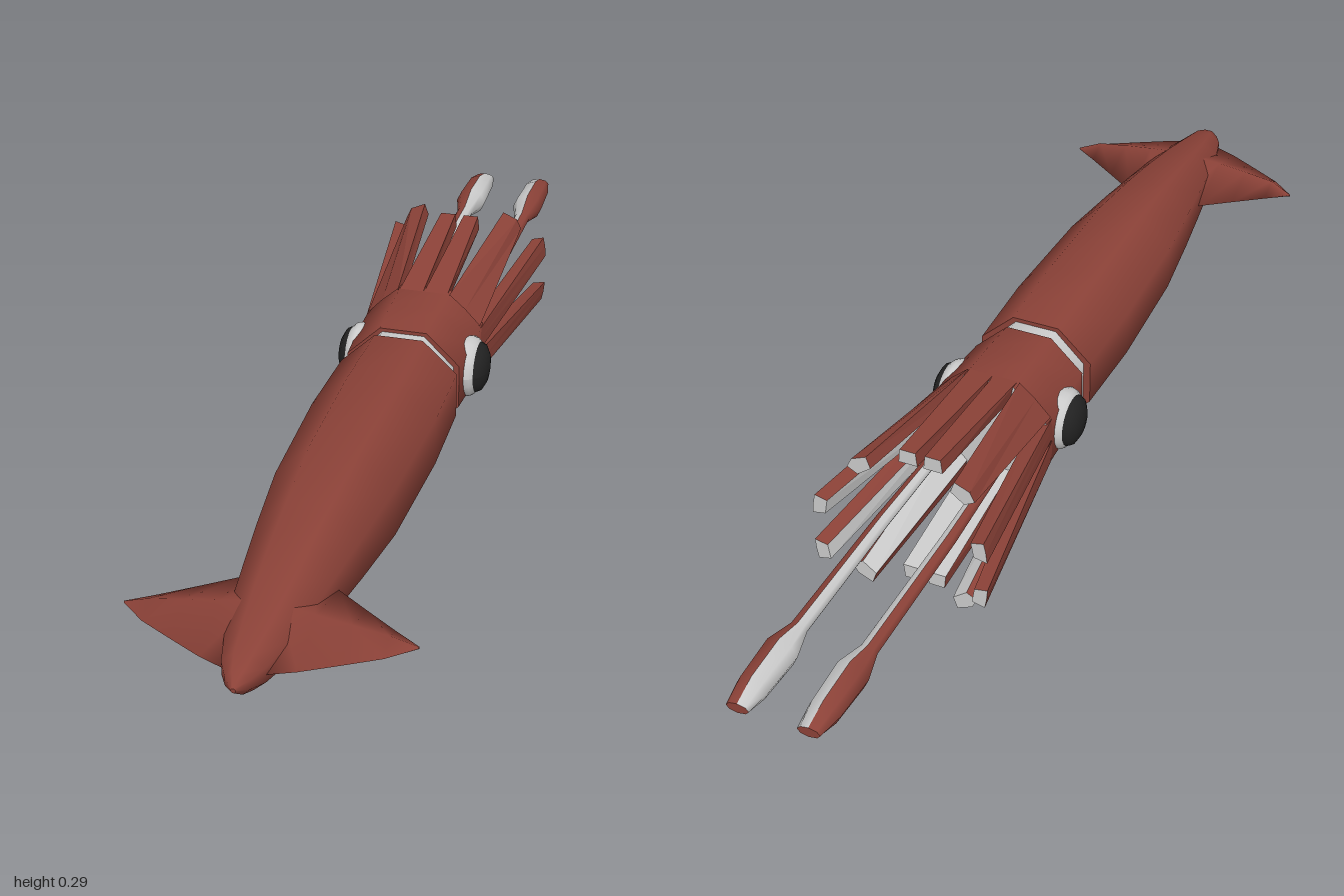
import * as THREE from 'three';

const material = (color, flat = false) =>
  new THREE.MeshStandardMaterial({ color, flatShading: flat, roughness: 0.8, side: THREE.DoubleSide });
const skin = material(0x8c4238);
const skinFlat = material(0x8c4238, true);
const pale = material(0xcccccc);
const paleFlat = material(0xcccccc, true);
const black = material(0x222222);

// Surface through rows of points; rows run towards +z, points run counterclockwise seen from +z
function loft(rows, closed) {
  const n = rows[0].length, index = [];
  for (let k = 0; k < rows.length - 1; k++) {
    for (let j = 0; j < (closed ? n : n - 1); j++) {
      const a = k * n + j, b = k * n + (j + 1) % n;
      index.push(a, b, b + n, a, b + n, a + n);
    }
  }
  return finish(rows.flat(2), index);
}

// Flat polygon closing a section
function cap(row, towardsBack) {
  const index = [];
  for (let j = 1; j < row.length - 1; j++) {
    index.push(0, ...(towardsBack ? [j + 1, j] : [j, j + 1]));
  }
  return finish(row.flat(), index);
}

function finish(positions, index) {
  const g = new THREE.BufferGeometry();
  g.setAttribute('position', new THREE.Float32BufferAttribute(positions, 3));
  g.setIndex(index);
  g.computeVertexNormals();
  return g;
}

// Copy reflected in x and/or y, keeping faces outward
function mirror(geometry, sx, sy = 1) {
  const g = geometry.clone().scale(sx, sy, 1);
  if (sx * sy < 0) {
    const i = g.index.array;
    for (let t = 0; t < i.length; t += 3) [i[t], i[t + 1]] = [i[t + 1], i[t]];
  }
  g.computeVertexNormals();
  return g;
}

// Eight-sided ring with flats on the axes; rx and ry are measured to the flats
function octagon([z, rx, ry]) {
  return Array.from({ length: 8 }, (_, j) => {
    const a = (j + 0.5) * Math.PI / 4, s = 1 / Math.cos(Math.PI / 8);
    return [Math.cos(a) * rx * s, Math.sin(a) * ry * s, z];
  });
}

export function createModel() {
  const root = new THREE.Group();
  const body = new THREE.Group();
  body.name = 'squid';
  body.position.y = 0.1455;
  root.add(body);
  const add = (name, geometry, mat, parent = body) => {
    const m = new THREE.Mesh(geometry, mat);
    m.name = name;
    parent.add(m);
  };

  // Mantle, tapering to a rounded tip
  const mantle = [
    [0.02, 0.113, 0.107], [0.2, 0.117, 0.112], [0.45, 0.108, 0.11], [0.6, 0.092, 0.094],
    [0.7, 0.08, 0.08], [0.8, 0.068, 0.062], [0.88, 0.054, 0.045], [0.95, 0.036, 0.032],
    [0.98, 0.02, 0.02], [1, 0.004, 0.004],
  ].map(octagon);
  add('mantle', loft(mantle, true), skin);
  add('mantleRim', cap(mantle[0], true), skin);
  add('mantleTip', cap(mantle.at(-1), false), skin);

  // Pale neck between mantle and head
  add('neck', loft([[-0.05, 0.099, 0.099], [0.04, 0.099, 0.099]].map(octagon), true), pale);

  // Head
  const head = [[-0.19, 0.117, 0.113], [-0.1, 0.115, 0.111], [-0.012, 0.11, 0.106]].map(octagon);
  add('head', loft(head, true), skin);
  add('headFront', cap(head[0], true), pale);
  add('headRim', cap(head.at(-1), false), skin);

  // Fins: diamond sections stepping outwards, [x, leading z, trailing z, half thickness]
  const finRows = [
    [0.02, 0.66, 0.955, 0.045], [0.08, 0.7, 0.93, 0.037], [0.14, 0.744, 0.897, 0.029],
    [0.2, 0.787, 0.863, 0.02], [0.246, 0.818, 0.823, 0.002],
  ].map(([x, lead, trail, t]) => {
    const mid = lead * 0.45 + trail * 0.55;
    return [[x, 0, trail], [x, -t, mid], [x, 0, lead], [x, t, mid]];
  });
  const fin = loft(finRows, true);

  // Eyes: pale rim with a domed dark pupil, turned to face sideways
  const lathe = (points) => new THREE.LatheGeometry(points.map((p) => new THREE.Vector2(...p)), 20)
    .rotateZ(-Math.PI / 2).translate(0, 0, -0.1);
  const eyeRim = lathe([[0.058, 0.095], [0.06, 0.112], [0.057, 0.121], [0.05, 0.128]]);
  const pupil = lathe([[0.05, 0.128], [0.045, 0.138], [0.03, 0.146], [0.015, 0.149], [0, 0.15]]);

  // Long tentacles with a widened club: [z, centre x, half width, half height]
  const tentacleSections = [
    [-1, 0.064, 0.021, 0.01], [-0.95, 0.065, 0.029, 0.025], [-0.86, 0.065, 0.032, 0.029],
    [-0.8, 0.065, 0.017, 0.013], [-0.5, 0.064, 0.015, 0.012], [-0.17, 0.055, 0.011, 0.01],
  ];
  const halfTube = (start) => tentacleSections.map(([z, cx, w, h]) =>
    Array.from({ length: 5 }, (_, j) => {
      const a = start + j * Math.PI / 4;
      return [cx + Math.cos(a) * w, Math.sin(a) * h, z];
    }));
  const outerHalf = halfTube(-Math.PI / 2), innerHalf = halfTube(Math.PI / 2);
  const tentacleEnd = cap([...outerHalf[0], ...innerHalf[0].slice(1, 4)], true);

  for (const [side, sx] of [['left', 1], ['right', -1]]) {
    add(side + 'Fin', mirror(fin, sx), skin);
    const eye = new THREE.Group();
    eye.name = side + 'Eye';
    add('eyeRim', mirror(eyeRim, sx), pale, eye);
    add('pupil', mirror(pupil, sx), black, eye);
    const tentacle = new THREE.Group();
    tentacle.name = side + 'Tentacle';
    add('tentacleOuter', mirror(loft(outerHalf), sx), skin, tentacle);
    add('tentacleInner', mirror(loft(innerHalf), sx), pale, tentacle);
    add('tentacleEnd', mirror(tentacleEnd, sx), skin, tentacle);
    body.add(eye, tentacle);
  }

  // Arms of one quadrant: base and tip sections, each as two inner corners around three outer ones
  const arms = [
    { name: 'Middle', z: -0.47,
      base: [[0.042, 0.08], [0.048, 0.113], [0.024, 0.113], [0.001, 0.113], [0.002, 0.08]],
      tip: [[0.042, 0.118], [0.039, 0.1455], [0.024, 0.1455], [0.009, 0.1455], [0.006, 0.118]] },
    { name: 'Diagonal', z: -0.51,
      base: [[0.085, 0.045], [0.114, 0.052], [0.084, 0.084], [0.052, 0.112], [0.046, 0.084]],
      tip: [[0.102, 0.1], [0.122, 0.111], [0.113, 0.13], [0.084, 0.143], [0.076, 0.12]] },
    { name: 'Side', z: -0.56,
      base: [[0.086, 0.004], [0.117, 0.002], [0.117, 0.026], [0.116, 0.048], [0.086, 0.042]],
      tip: [[0.142, 0.036], [0.167, 0.031], [0.165, 0.052], [0.161, 0.072], [0.137, 0.066]] },
  ];
  for (const { name, z, base, tip } of arms) {
    const rows = [tip.map((p) => [...p, z]), base.map((p) => [...p, -0.17])];
    const outer = loft(rows), inner = loft(rows.map((r) => [r[4], r[0]])), end = cap(rows[0], true);
    for (const sx of [1, -1]) {
      for (const sy of [1, -1]) {
        const arm = new THREE.Group();
        arm.name = (sx > 0 ? 'left' : 'right') + (sy > 0 ? 'Upper' : 'Lower') + name + 'Arm';
        add('armOuter', mirror(outer, sx, sy), skinFlat, arm);
        add('armInner', mirror(inner, sx, sy), paleFlat, arm);
        add('armEnd', mirror(end, sx, sy), paleFlat, arm);
        body.add(arm);
      }
    }
  }
  return root;
}
